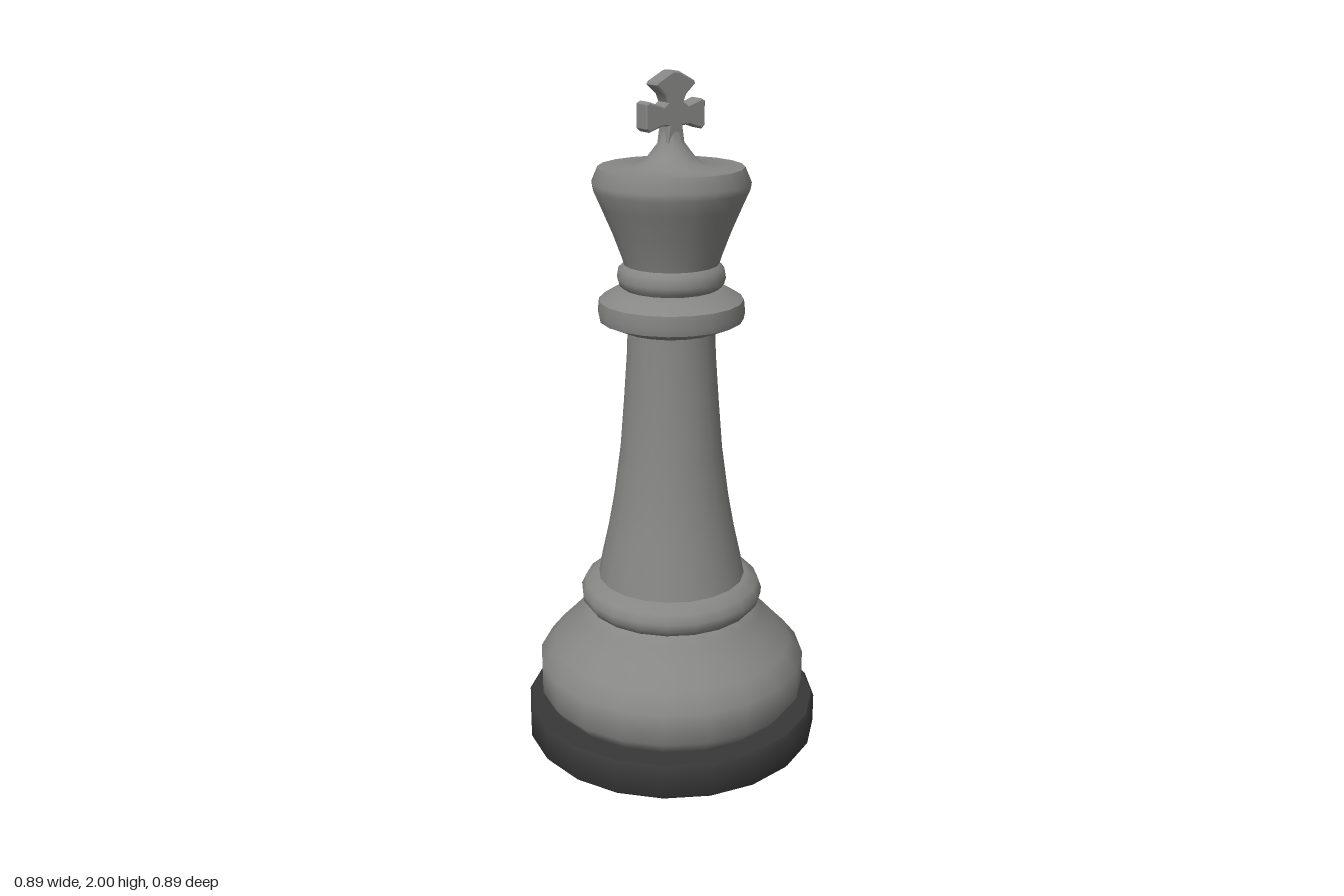
import * as THREE from 'three';
import { toCreasedNormals } from 'three/addons/utils/BufferGeometryUtils.js';

const SIDES = 20;

export function createModel() {
  const model = new THREE.Group();
  model.name = 'chessKing';

  const stone = new THREE.MeshStandardMaterial({ color: 0x878785 });
  stone.name = 'grey stone';
  const felt = new THREE.MeshStandardMaterial({ color: 0x383838 });
  felt.name = 'dark base';

  function add(name, geometry, material) {
    const mesh = new THREE.Mesh(geometry, material);
    mesh.name = name;
    model.add(mesh);
    return mesh;
  }

  // Turned part from [radius, height] pairs, listed bottom to top
  function turned(name, profile, material = stone, crease = 0.9) {
    const points = profile.map(([r, y]) => new THREE.Vector2(r, y));
    add(name, toCreasedNormals(new THREE.LatheGeometry(points, SIDES), crease), material);
  }

  // Dark plinth
  turned('plinth', [[0, 0], [0.437, 0], [0.445, 0.01], [0.445, 0.098], [0.437, 0.108], [0, 0.108]], felt);

  // Flared foot
  turned('foot', [
    [0, 0.106], [0.37, 0.112], [0.38, 0.122], [0.405, 0.155], [0.405, 0.25],
    [0.365, 0.3], [0.315, 0.352], [0.275, 0.395], [0.255, 0.425], [0.2, 0.43],
  ]);

  // Ring above the foot
  turned('footRing', [
    [0.2, 0.42], [0.255, 0.425], [0.272, 0.447], [0.274, 0.468], [0.262, 0.495], [0.23, 0.514], [0.2, 0.518],
  ]);

  // Tapering column
  turned('column', [
    [0.222, 0.505], [0.208, 0.58], [0.188, 0.67], [0.17, 0.77],
    [0.15, 0.92], [0.138, 1.07], [0.129, 1.2], [0.125, 1.3],
  ]);

  // Wide collar
  turned('collar', [
    [0.11, 1.283], [0.15, 1.285], [0.207, 1.31], [0.211, 1.33],
    [0.207, 1.367], [0.17, 1.39], [0.145, 1.402], [0.1, 1.405],
  ]);

  // Neck ring
  turned('neckRing', [
    [0.13, 1.395], [0.15, 1.412], [0.155, 1.43], [0.15, 1.458], [0.132, 1.475], [0.1, 1.478],
  ]);

  // Crown, with the small cone that carries the cross
  turned('crown', [
    [0.133, 1.46], [0.142, 1.49], [0.168, 1.56], [0.2, 1.635], [0.22, 1.68],
    [0.223, 1.7], [0.205, 1.742], [0.1, 1.745], [0.07, 1.765],
    [0.035, 1.81], [0.025, 1.84], [0, 1.845],
  ], stone, 0.75);

  // Cross with splayed arms and a peaked top; one half outline is mirrored
  const half = [
    [0.03, 1.8], [0.022, 1.852], [0.045, 1.852], [0.085, 1.838], [0.096, 1.848],
    [0.096, 1.913], [0.085, 1.92], [0.04, 1.905], [0.026, 1.915],
    [0.034, 1.935], [0.064, 1.962], [0.06, 1.97], [0.01, 1.997],
  ];
  const outline = [...half, ...half.map(([x, y]) => [-x, y]).reverse()];
  const bevel = 0.004;
  const cross = new THREE.ExtrudeGeometry(
    new THREE.Shape(outline.map(([x, y]) => new THREE.Vector2(x, y))),
    { depth: 0.046, bevelEnabled: true, bevelThickness: bevel, bevelSize: bevel, bevelOffset: -bevel, bevelSegments: 1 }
  );
  cross.translate(0, 0.003, -0.025);
  add('cross', toCreasedNormals(cross, 0.5), stone);

  return model;
}
